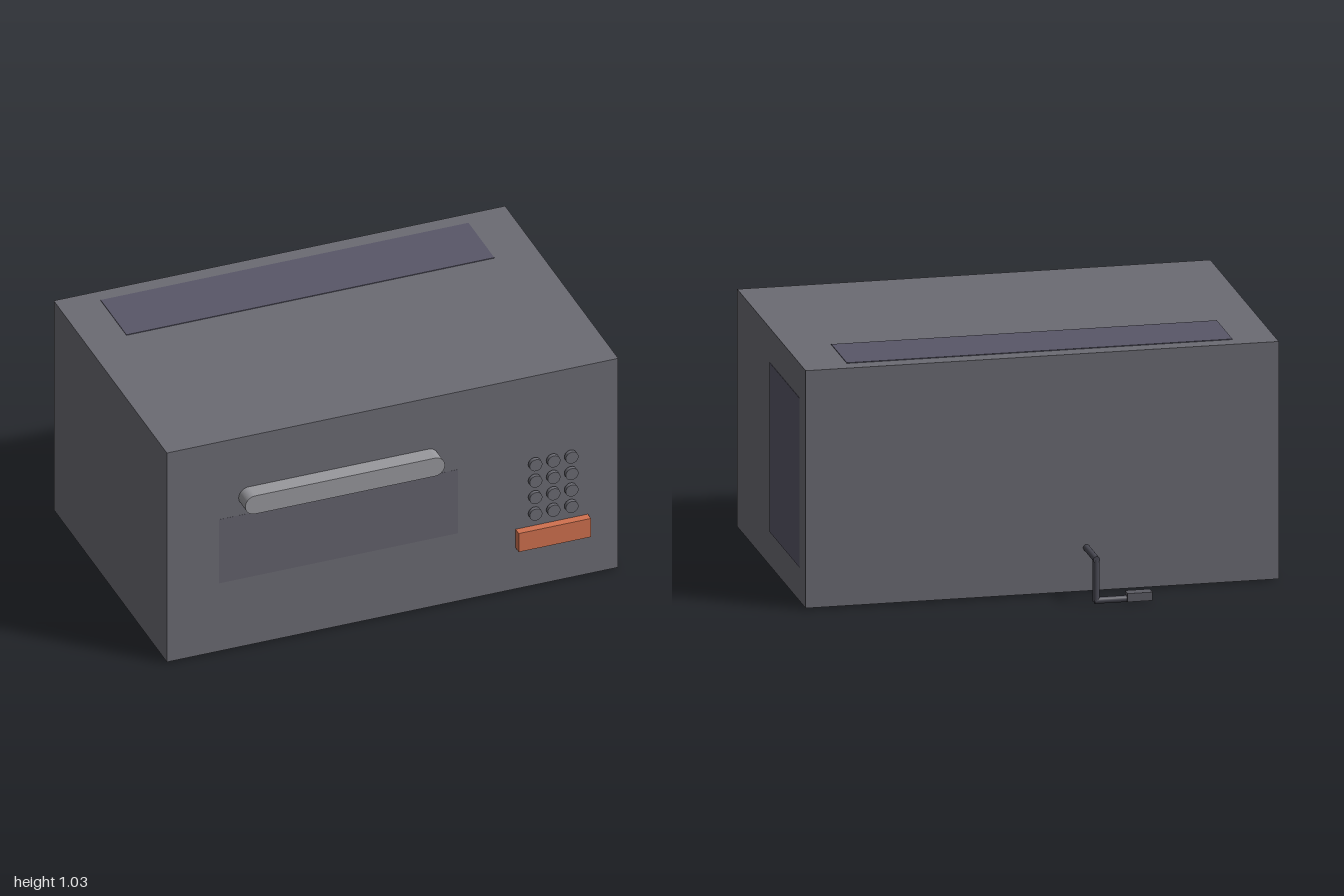
import * as THREE from 'three';

const material = (color) => new THREE.MeshStandardMaterial({ color });

export function createModel() {
  const group = new THREE.Group();
  const shell = material(0x6b6b73);
  const panel = material(0x595768);
  const metal = material(0x98989d);
  const rubber = material(0x484852);
  const orange = material(0xd0714f);

  const add = (name, geometry, mat, x = 0, y = 0, z = 0) => {
    const mesh = new THREE.Mesh(geometry, mat);
    mesh.name = name;
    mesh.position.set(x, y, z);
    group.add(mesh);
    return mesh;
  };

  // Box given by its two opposite corners
  const box = (name, mat, [x0, y0, z0], [x1, y1, z1]) =>
    add(name, new THREE.BoxGeometry(x1 - x0, y1 - y0, z1 - z0), mat,
      (x0 + x1) / 2, (y0 + y1) / 2, (z0 + z1) / 2);

  // Round rod between two points
  const rod = (name, a, b, radius) => {
    const from = new THREE.Vector3(...a), to = new THREE.Vector3(...b);
    const dir = to.clone().sub(from);
    const mid = from.clone().add(to).multiplyScalar(0.5);
    const mesh = add(name, new THREE.CylinderGeometry(radius, radius, dir.length(), 20), rubber, mid.x, mid.y, mid.z);
    mesh.quaternion.setFromUnitVectors(new THREE.Vector3(0, 1, 0), dir.normalize());
  };

  // Oven casing with its thin inlaid panels
  box('casing', shell, [-1, 0.01, -0.57], [1, 1.027, 0.7]);
  box('topVent', panel, [-0.82, 1.02, -0.5], [0.81, 1.03, -0.21]);
  box('sideVent', panel, [0.99, 0.155, -0.46], [1.002, 0.88, 0.09]);
  box('doorWindow', material(0x63626d), [-0.77, 0.34, 0.69], [0.29, 0.65, 0.7005]);

  // Door handle: a bar with rounded ends
  const r = 0.044;
  const bar = new THREE.Shape();
  bar.absarc(0.158, 0.735, r, -Math.PI / 2, Math.PI / 2, false);
  bar.absarc(-0.638, 0.735, r, Math.PI / 2, Math.PI * 1.5, false);
  add('handle', new THREE.ExtrudeGeometry(bar, { depth: 0.075, bevelEnabled: false, curveSegments: 16 }), metal, 0, 0, 0.7);

  // Keypad: four rows of three round buttons
  const button = new THREE.CylinderGeometry(0.028, 0.028, 0.018, 24).rotateX(Math.PI / 2);
  for (let row = 0; row < 4; row++) {
    for (let col = 0; col < 3; col++) {
      add('keypadButton', button, shell, 0.624 + col * 0.08, 0.61 - row * 0.08, 0.721);
    }
  }

  // Wide start button
  box('startButton', orange, [0.545, 0.21, 0.7], [0.865, 0.3, 0.736]);

  // Power cord: out of the back, down, then sideways to the plug
  const cr = 0.014;
  rod('cordOut', [-0.187, 0.195, -0.56], [-0.187, 0.195, -0.76], cr);
  rod('cordDown', [-0.187, 0.195, -0.748], [-0.187, 0.014, -0.748], cr);
  rod('cordAcross', [-0.18, 0.018, -0.748], [-0.37, 0.018, -0.748], cr);
  box('plug', material(0x5c5c64), [-0.42, 0.01, -0.774], [-0.315, 0.046, -0.724]);

  return group;
}
